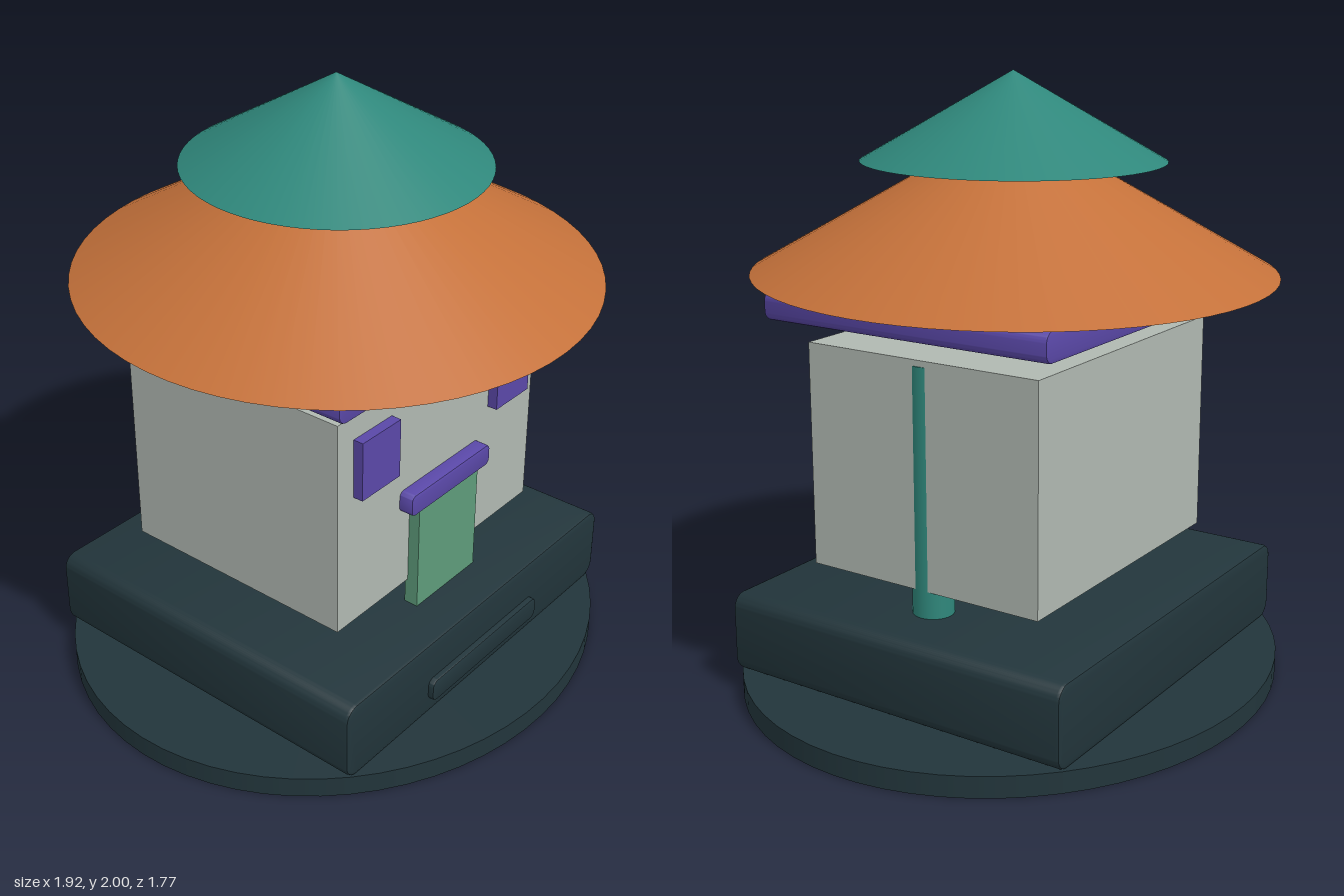
import * as THREE from 'three';
import { toCreasedNormals } from 'three/addons/utils/BufferGeometryUtils.js';

const mat = (name, color) => {
  const m = new THREE.MeshStandardMaterial({ color });
  m.name = name;
  return m;
};

export function createModel() {
  const slate = mat('dark slate', 0x22353b);
  const stone = mat('pale stone', 0xb0b8b1);
  const purple = mat('purple', 0x5a48a8);
  const orange = mat('orange', 0xc4713a);
  const teal = mat('teal', 0x2f877b);
  const green = mat('door green', 0x5e9b7a);

  const model = new THREE.Group();
  model.name = 'pavilion';

  const add = (name, geometry, material, x = 0, y = 0, z = 0) => {
    const mesh = new THREE.Mesh(geometry, material);
    mesh.name = name;
    mesh.position.set(x, y, z);
    model.add(mesh);
    return mesh;
  };

  // Plain block between two heights and two depths
  const block = (name, material, x, width, y0, y1, z0, z1) =>
    add(name, new THREE.BoxGeometry(width, y1 - y0, z1 - z0), material, x, (y0 + y1) / 2, (z0 + z1) / 2);

  // Slab with a rounded front outline, running from z0 to z1 with a small edge bevel
  const slab = (name, material, width, y0, y1, z0, z1, radius, bevel) => {
    const w = width / 2 - bevel, h = (y1 - y0) / 2 - bevel, r = radius - bevel;
    const s = new THREE.Shape();
    s.moveTo(w, -h + r);
    s.absarc(w - r, h - r, r, 0, Math.PI / 2);
    s.absarc(-w + r, h - r, r, Math.PI / 2, Math.PI);
    s.absarc(-w + r, -h + r, r, Math.PI, Math.PI * 1.5);
    s.absarc(w - r, -h + r, r, Math.PI * 1.5, Math.PI * 2);
    const g = new THREE.ExtrudeGeometry(s, {
      depth: z1 - z0 - 2 * bevel, curveSegments: 6,
      bevelEnabled: true, bevelSize: bevel, bevelThickness: bevel, bevelSegments: 2,
    });
    g.translate(0, (y0 + y1) / 2, z0 + bevel);
    return add(name, toCreasedNormals(g, 0.6), material);
  };

  // Oval ground disc and plinth with its front plaque
  add('baseDisc', new THREE.CylinderGeometry(0.875, 0.875, 0.07, 64), slate, 0, 0.035, 0).scale.x = 1.1;
  slab('plinth', slate, 1.41, 0.07, 0.34, -0.625, 0.625, 0.05, 0.012);
  slab('plinthPlaque', slate, 0.59, 0.12, 0.2, 0.6, 0.645, 0.025, 0.006);

  // Walls, raised above the plinth
  block('walls', stone, 0, 1.03, 0.43, 1.17, -0.43, 0.43);

  // Pipe half sunk into the left wall
  add('pipe', new THREE.CylinderGeometry(0.067, 0.067, 0.81, 32), teal, 0.4525, 0.745, 0);

  // Door with lintel, and the two windows
  block('door', green, 0, 0.315, 0.34, 0.73, 0.42, 0.47);
  slab('lintel', purple, 0.42, 0.715, 0.79, 0.4, 0.48, 0.02, 0.006);
  for (const side of [-1, 1]) {
    block(side > 0 ? 'leftWindow' : 'rightWindow', purple, side * 0.35, 0.182, 0.89, 1.09, 0.42, 0.465);
  }

  // Bracket under the purple eave slab
  slab('bracket', orange, 0.22, 1.14, 1.26, 0.424, 0.466, 0.012, 0.004);
  slab('eaveSlab', purple, 1.23, 1.245, 1.34, -0.52, 0.52, 0.032, 0.006);

  // Two oval cone roofs, turned an eighth of a circle
  const roof = (name, material, radius, y0, y1) => {
    const cone = add(name, new THREE.ConeGeometry(radius, y1 - y0, 64), material, 0, (y0 + y1) / 2, 0);
    cone.scale.x = 1.1;
    cone.rotation.y = Math.PI / 4;
  };
  roof('lowerRoof', orange, 0.842, 1.37, 1.85);
  roof('upperRoof', teal, 0.487, 1.72, 2);

  return model;
}
